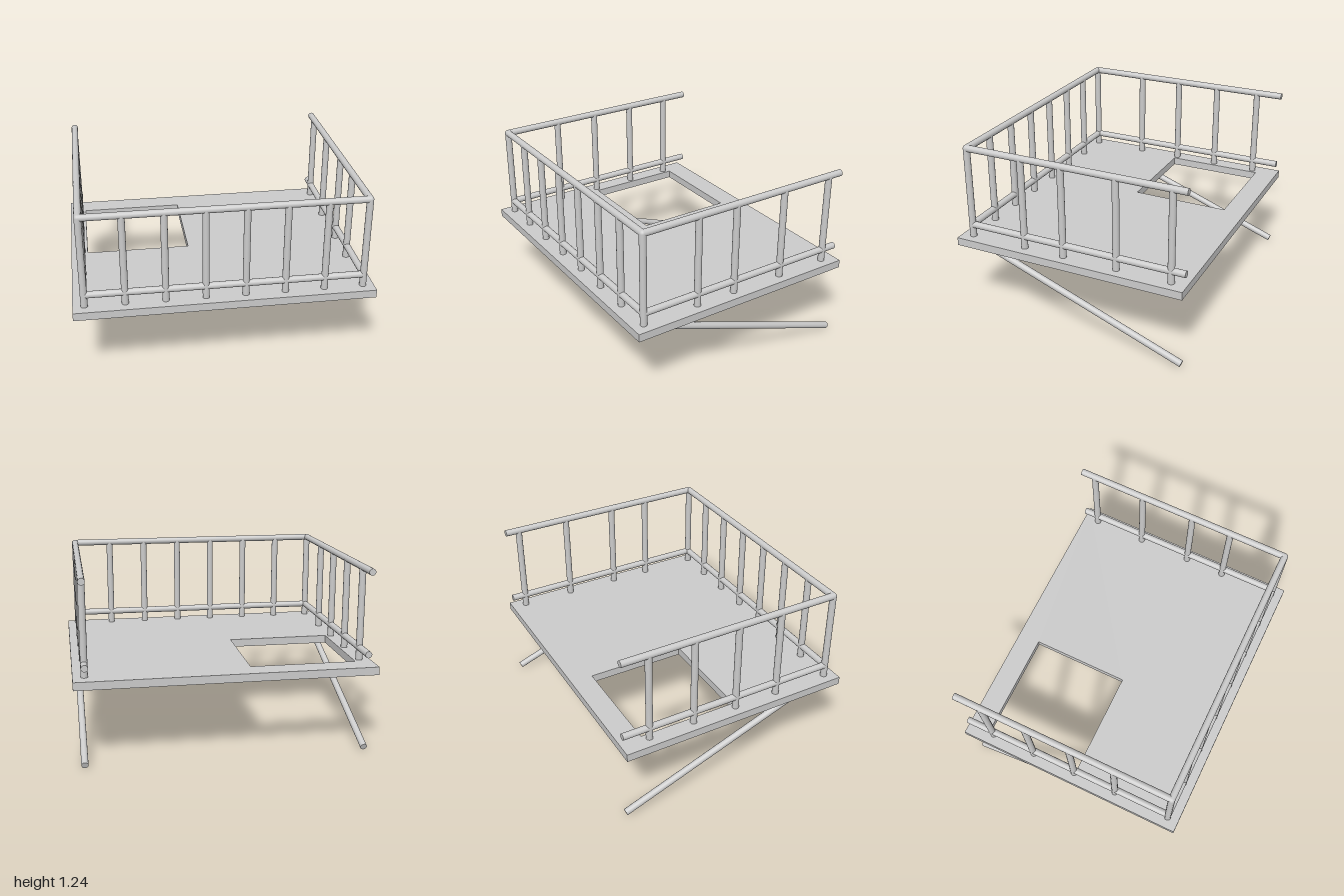
import * as THREE from 'three';

const R = 0.023;
const DECK_TOP = 0.585, DECK_BOTTOM = 0.53;
const TOP_RAIL = 1.22, LOW_RAIL = 0.67;
const SIDE_X = 0.924, FRONT_Z = 0.735, BACK_Z = -0.81;

export function createModel() {
  const model = new THREE.Group();
  const material = new THREE.MeshStandardMaterial({ color: 0xcccccc });

  const add = (name, geometry) => {
    const mesh = new THREE.Mesh(geometry, material);
    mesh.name = name;
    model.add(mesh);
    return mesh;
  };

  // Round bar between two points
  const bar = (name, from, to) => {
    const a = new THREE.Vector3(...from), b = new THREE.Vector3(...to);
    const mesh = add(name, new THREE.CylinderGeometry(R, R, a.distanceTo(b), 20));
    mesh.position.copy(a).add(b).multiplyScalar(0.5);
    mesh.quaternion.setFromUnitVectors(new THREE.Vector3(0, 1, 0), b.sub(a).normalize());
  };
  const post = (name, x, z) => bar(name, [x, DECK_TOP - 0.01, z], [x, TOP_RAIL, z]);

  const rectangle = (path, x0, x1, y0, y1) =>
    path.moveTo(x0, y0).lineTo(x1, y0).lineTo(x1, y1).lineTo(x0, y1).closePath();

  // Deck with hatch opening; shape y becomes -z
  const outline = new THREE.Shape();
  rectangle(outline, -1, 1, -0.815, 0.815);
  const hatch = new THREE.Path();
  rectangle(hatch, -0.885, -0.165, -0.025, 0.66);
  outline.holes.push(hatch);
  const deck = new THREE.ExtrudeGeometry(outline, { depth: DECK_TOP - DECK_BOTTOM, bevelEnabled: false });
  deck.rotateX(-Math.PI / 2).translate(0, DECK_BOTTOM, 0);
  add('deck', deck);

  // Horizontal rails on three sides, with rounded corner joints
  for (const y of [LOW_RAIL, TOP_RAIL]) {
    bar('frontRail', [-SIDE_X, y, FRONT_Z], [SIDE_X, y, FRONT_Z]);
    for (const x of [-SIDE_X, SIDE_X]) {
      bar('sideRail', [x, y, FRONT_Z], [x, y, BACK_Z]);
      add('railJoint', new THREE.SphereGeometry(R, 20, 12)).position.set(x, y, FRONT_Z);
    }
  }

  // Corner posts and front balusters, evenly spaced
  for (let i = 0; i <= 7; i++) {
    const x = -SIDE_X + (i * 2 * SIDE_X) / 7;
    post(i % 7 ? 'frontBaluster' : 'cornerPost', x, FRONT_Z);
  }

  // Side balusters
  for (const z of [0.333, 0.045, -0.335, -0.71]) post('leftBaluster', SIDE_X, z);
  for (const z of [0.333, 0.017, -0.3, -0.62]) post('rightBaluster', -SIDE_X, z);

  // Diagonal braces running down and back from under the deck
  for (const x of [-0.922, 0.943]) bar('brace', [x, 0.555, 0.64], [x, 0.022, -0.80]);

  return model;
}
